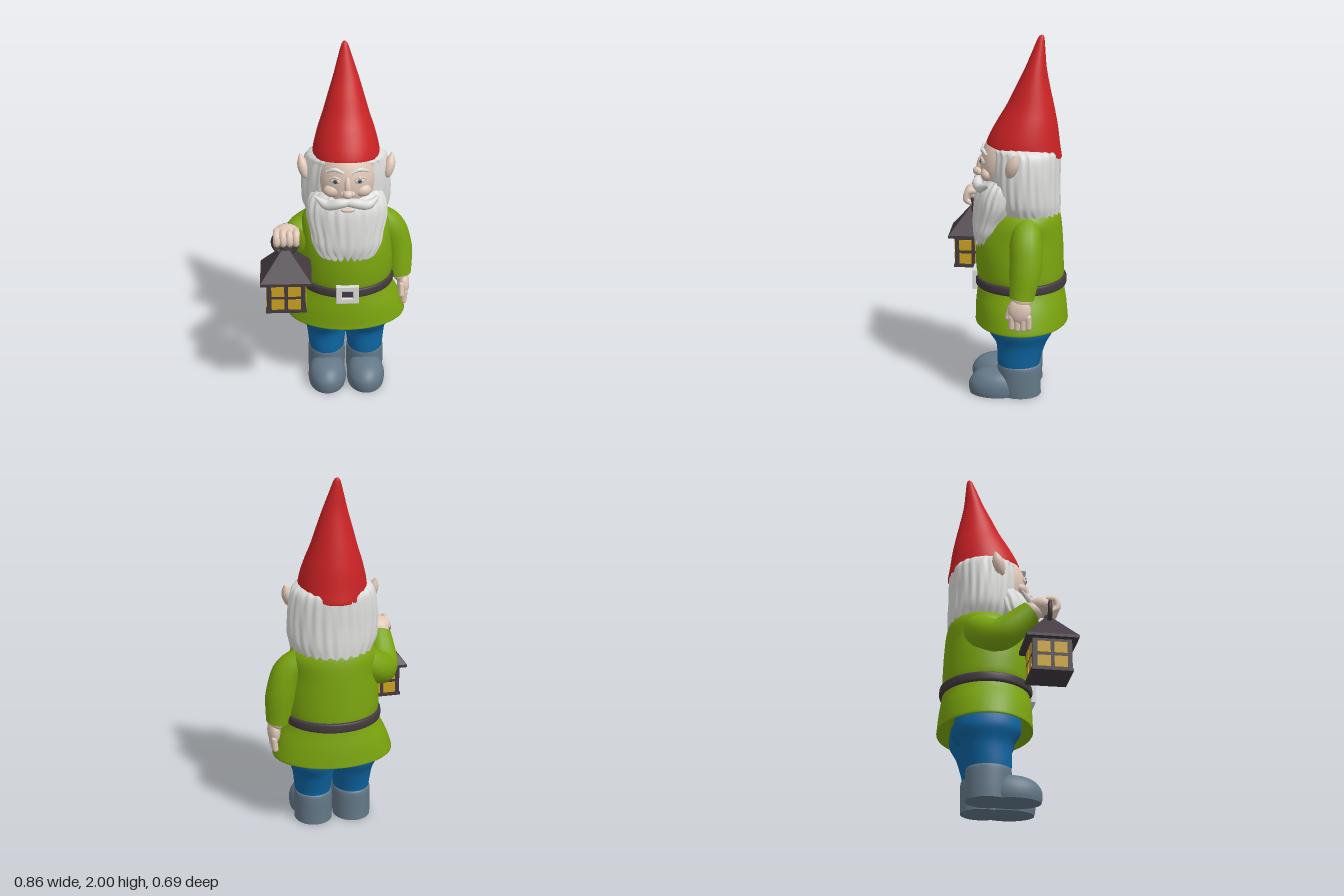
import * as THREE from 'three';

const mat = (name, color, side = THREE.FrontSide) => {
  const m = new THREE.MeshStandardMaterial({ color, side });
  m.name = name;
  return m;
};
const CX = 0.05; // the figure's own centre line, offset by the lantern

export function createModel() {
  const red = mat('hat red', 0xcc2224), green = mat('tunic green', 0x7aa40e, THREE.DoubleSide);
  const blue = mat('trouser blue', 0x0d66a4), slate = mat('boot slate', 0x647888);
  const dark = mat('iron dark', 0x433a40), yellow = mat('window yellow', 0xcaa11f);
  const skin = mat('skin', 0xe0c8b8), white = mat('hair white', 0xdcdcda), iris = mat('iris grey', 0x7d8c9a);
  const root = new THREE.Group();

  const add = (name, geo, material, pos = [0, 0, 0], rot = [0, 0, 0]) => {
    const m = new THREE.Mesh(geo, material);
    m.name = name;
    m.position.set(...pos);
    m.rotation.set(...rot);
    root.add(m);
    return m;
  };
  const blob = (name, material, pos, r, rot) =>
    add(name, new THREE.SphereGeometry(1, 24, 16).scale(...r), material, pos, rot);

  // Tunic with flared hem, turned under at the bottom
  add('tunic', loft([
    [0.47, CX, -0.085, 0.24, 0.19], [0.425, CX, -0.085, 0.31, 0.235], [0.412, CX, -0.085, 0.338, 0.258],
    [0.44, CX, -0.085, 0.336, 0.258], [0.52, CX, -0.082, 0.308, 0.253], [0.6, CX, -0.08, 0.268, 0.242],
    [0.645, CX, -0.08, 0.256, 0.238], [0.7, CX, -0.076, 0.264, 0.243], [0.8, CX, -0.072, 0.262, 0.244],
    [0.9, CX, -0.075, 0.252, 0.236], [1.0, CX, -0.1, 0.245, 0.2], [1.06, CX, -0.11, 0.2, 0.165],
    [1.1, CX, -0.11, 0.12, 0.11]]), green);

  // Belt and buckle
  add('belt', loft([[0.617, CX, -0.08, 0.25, 0.236], [0.622, CX, -0.08, 0.27, 0.252],
    [0.645, CX, -0.08, 0.274, 0.255], [0.668, CX, -0.08, 0.27, 0.252], [0.673, CX, -0.08, 0.25, 0.236]]), dark);
  const frame = rect(0.12, 0.1);
  frame.holes.push(rect(0.07, 0.052));
  add('buckle', new THREE.ExtrudeGeometry(frame, {
    depth: 0.02, bevelEnabled: true, bevelSize: 0.004, bevelThickness: 0.004, bevelSegments: 2,
  }), white, [CX, 0.645, 0.164]);

  // Trousers and boots
  blob('trouserSeat', blue, [CX, 0.42, -0.085], [0.255, 0.1, 0.185]);
  for (const s of [-1, 1]) {
    const x = CX + s * 0.112;
    add('trouserLeg', loft([[0.15, x, -0.075, 0.098, 0.115], [0.2, x, -0.075, 0.104, 0.12],
      [0.3, x, -0.087, 0.117, 0.138], [0.38, x + s * 0.012, -0.085, 0.133, 0.178],
      [0.46, x + s * 0.012, -0.085, 0.13, 0.175]]), blue);
    add('bootShaft', loft([[0, x, -0.082, 0.106, 0.118], [0.06, x, -0.08, 0.108, 0.119],
      [0.16, x, -0.078, 0.107, 0.122], [0.18, x, -0.076, 0.1, 0.115]]), slate);
    add('bootToe', loft([[0, x, 0.05, 0.104, 0.15], [0.03, x, 0.05, 0.109, 0.156], [0.07, x, 0.05, 0.106, 0.152],
      [0.11, x, 0.045, 0.088, 0.127], [0.135, x, 0.035, 0.055, 0.09], [0.146, x, 0.03, 0.012, 0.02]]), slate);
  }

  // Hair mantle and beard, rippled into strands
  const strands = (n, amp, jag, low) => (p, a, cx, cz) => {
    const k = 1 + amp * Math.sin(n * a + 5 * p.y) + amp * 0.7 * Math.sin((n + 8) * a - 9 * p.y + 1);
    p.x = cx + (p.x - cx) * k;
    p.z = cz + (p.z - cz) * k;
    p.y += jag * Math.sin(n * a) * Math.max(0, 1 - (p.y - low) / 0.12);
  };
  add('hair', loft([[1.035, CX, -0.115, 0.21, 0.178], [1.1, CX, -0.105, 0.24, 0.19], [1.2, CX, -0.1, 0.248, 0.193],
    [1.3, CX, -0.1, 0.242, 0.193], [1.37, CX, -0.1, 0.226, 0.188], [1.4, CX, -0.085, 0.2, 0.175],
    [1.425, CX, -0.08, 0.14, 0.13]], 120, strands(23, 0.014, 0.012, 1.035)), white);
  add('beard', loft([[0.855, CX, 0.135, 0.08, 0.03], [0.875, CX, 0.125, 0.145, 0.05], [0.93, CX, 0.105, 0.185, 0.08],
    [1.0, CX, 0.08, 0.198, 0.105], [1.08, CX, 0.045, 0.218, 0.135], [1.14, CX, 0.03, 0.218, 0.14],
    [1.19, CX, 0.01, 0.205, 0.138], [1.225, CX, 0, 0.175, 0.115]], 120, strands(19, 0.018, 0.016, 0.855)), white);

  // Face
  blob('face', skin, [CX, 1.29, 0], [0.162, 0.2, 0.145]);
  blob('noseBridge', skin, [CX, 1.3, 0.143], [0.018, 0.05, 0.02], [-0.25, 0, 0]);
  blob('noseTip', skin, [CX, 1.255, 0.158], [0.028, 0.025, 0.028]);
  blob('lowerLip', skin, [CX, 1.165, 0.168], [0.04, 0.012, 0.012]);
  for (const s of [-1, 1]) {
    const x = (d) => CX + s * d;
    blob('nostril', skin, [x(0.024), 1.25, 0.146], [0.016, 0.016, 0.018]);
    blob('cheek', skin, [x(0.08), 1.255, 0.1], [0.05, 0.038, 0.038]);
    blob('eye', white, [x(0.066), 1.322, 0.126], [0.031, 0.018, 0.013], [0, s * 0.3, 0]);
    blob('iris', iris, [x(0.066), 1.322, 0.136], [0.014, 0.014, 0.005], [0, s * 0.3, 0]);
    blob('pupil', dark, [x(0.066), 1.322, 0.14], [0.008, 0.008, 0.003], [0, s * 0.3, 0]);
    add('eyelid', limb([[x(0.034), 1.328, 0.136], [x(0.066), 1.344, 0.135], [x(0.1), 1.328, 0.116]],
      [0.004, 0.007, 0.004]), skin);
    add('eyebrow', limb([[x(0.02), 1.368, 0.135], [x(0.065), 1.386, 0.127], [x(0.115), 1.365, 0.1]],
      [0.006, 0.012, 0.005]), white);
    add('moustache', limb([[x(-0.01), 1.205, 0.15], [x(0.05), 1.2, 0.158], [x(0.11), 1.182, 0.135],
      [x(0.175), 1.212, 0.09]], [0.022, 0.029, 0.026, 0.006]), white);
    // Pointed ear
    const ear = new THREE.SphereGeometry(1, 24, 16), p = ear.attributes.position;
    for (let i = 0; i < p.count; i++) {
      const k = 1 - 0.6 * Math.max(0, p.getY(i)) ** 2;
      p.setXYZ(i, p.getX(i) * k, p.getY(i), p.getZ(i) * k);
    }
    ear.scale(0.03, 0.072, 0.034).computeVertexNormals();
    add('ear', ear, skin, [x(0.238), 1.335, -0.045], [-0.32, 0, -s * 0.22]);
  }

  // Pointed hat, its brim tilted down at the back
  add('hat', loft([[1.41, CX, -0.095, 0.165, 0.18, 0.19], [1.378, CX, -0.095, 0.186, 0.205, 0.19],
    [1.44, CX, -0.1, 0.18, 0.19, 0.15], [1.53, CX, -0.115, 0.157, 0.162, 0.1], [1.62, CX, -0.13, 0.127, 0.128, 0.06],
    [1.72, CX, -0.142, 0.098, 0.093, 0.03], [1.82, CX, -0.156, 0.068, 0.059, 0], [1.91, 0.047, -0.171, 0.041, 0.036, 0],
    [1.98, 0.045, -0.183, 0.019, 0.018, 0], [1.999, 0.045, -0.187, 0.006, 0.006, 0]], 64), red);

  // Lowered left arm and hand
  add('leftSleeve', limb([[0.2, 1.0, -0.12], [0.295, 0.93, -0.12], [0.342, 0.8, -0.12], [0.362, 0.625, -0.1]],
    [0.07, 0.088, 0.086, 0.066]), green);
  blob('leftWrist', skin, [0.368, 0.625, -0.1], [0.046, 0.05, 0.056]);
  blob('leftPalm', skin, [0.383, 0.565, -0.09], [0.036, 0.075, 0.062]);
  for (let i = 0; i < 4; i++)
    add('leftFinger', new THREE.CapsuleGeometry(0.017, 0.06, 6, 12), skin,
      [0.388, 0.5 - 0.006 * (i === 1 || i === 2), -0.138 + i * 0.03], [0, 0, -0.1]);
  add('leftThumb', new THREE.CapsuleGeometry(0.016, 0.06, 6, 12), skin, [0.37, 0.55, -0.034], [-0.25, 0, 0]);

  // Raised right arm and fist
  add('rightSleeve', limb([[-0.06, 1.0, -0.14], [-0.18, 0.91, -0.13], [-0.25, 0.875, -0.04], [-0.28, 1.0, 0.12]],
    [0.08, 0.094, 0.086, 0.066]), green);
  blob('rightWrist', skin, [-0.281, 1.005, 0.125], [0.06, 0.05, 0.06]);
  blob('rightFist', skin, [-0.283, 1.035, 0.18], [0.074, 0.052, 0.075]);
  for (let i = 0; i < 4; i++) {
    const x = -0.336 + i * 0.035;
    add('rightFinger', limb([[x, 1.062, 0.19], [x, 1.058, 0.238], [x, 1.015, 0.252], [x, 0.985, 0.215]],
      [0.018, 0.02, 0.019, 0.012]), skin);
  }

  // Lantern
  const L = [-0.29, 0, 0.21], at = (y) => [L[0], y, L[2]];
  add('lanternBody', new THREE.BoxGeometry(0.212, 0.18, 0.212), dark, at(0.712));
  add('lanternFoot', new THREE.BoxGeometry(0.222, 0.015, 0.222), dark, at(0.6275));
  add('lanternEave', new THREE.BoxGeometry(0.28, 0.016, 0.28), dark, at(0.808));
  const roof = new THREE.CylinderGeometry(0.03, 0.196, 0.145, 4).rotateY(Math.PI / 4).toNonIndexed();
  roof.computeVertexNormals();
  add('lanternRoof', roof, dark, at(0.888));
  add('lanternCap', new THREE.CylinderGeometry(0.02, 0.026, 0.03, 16), dark, at(0.965));
  add('lanternRing', new THREE.TorusGeometry(0.066, 0.013, 12, 36), dark, at(1.0));
  for (let f = 0; f < 4; f++)
    for (const u of [-1, 1])
      for (const v of [-1, 1]) {
        const a = f * Math.PI / 2, d = 0.107;
        add('lanternPane', new THREE.BoxGeometry(0.07, 0.062, 0.006), yellow,
          [L[0] + Math.sin(a) * d + Math.cos(a) * u * 0.045, 0.712 + v * 0.04,
            L[2] + Math.cos(a) * d - Math.sin(a) * u * 0.045], [0, a, 0]);
      }
  return root;
}

// Centred rectangle outline
function rect(w, h) {
  const pts = [[-1, -1], [1, -1], [1, 1], [-1, 1]].map(([x, y]) => new THREE.Vector2(x * w / 2, y * h / 2));
  return new THREE.Shape(pts);
}

// Smooth skin over elliptical sections [y, cx, cz, rx, rz, tilt], with flat end caps
function loft(sections, seg = 48, deform = null, steps = 6) {
  const n = sections.length, rows = (n - 1) * steps + 1, pos = [], idx = [], p = new THREE.Vector3();
  const section = (j) => {
    const i = Math.min(Math.floor(j / steps), n - 2), t = j / steps - i;
    const [a, b, c, d] = [i - 1, i, i + 1, i + 2].map((k) => sections[Math.min(Math.max(k, 0), n - 1)]);
    return b.map((v, k) => v + 0.5 * t * (c[k] - a[k] + t * (2 * a[k] - 5 * v + 4 * c[k] - d[k]
      + t * (3 * (v - c[k]) + d[k] - a[k]))));
  };
  const ring = (j) => {
    const [y, cx, cz, rx, rz, tilt = 0] = section(j);
    for (let i = 0; i < seg; i++) {
      const a = i / seg * Math.PI * 2;
      p.set(cx + rx * Math.cos(a), y + tilt * rz * Math.sin(a), cz + rz * Math.sin(a));
      if (deform) deform(p, a, cx, cz);
      pos.push(p.x, p.y, p.z);
    }
    return [cx, y, cz];
  };
  for (let j = 0; j < rows; j++) ring(j);
  for (let j = 0; j < rows - 1; j++)
    for (let i = 0; i < seg; i++) {
      const a = j * seg + i, b = j * seg + (i + 1) % seg;
      idx.push(a, a + seg, b, b, a + seg, b + seg);
    }
  for (const j of [0, rows - 1]) {
    const start = pos.length / 3;
    pos.push(...ring(j));
    for (let i = 0; i < seg; i++) {
      const a = start + i, b = start + (i + 1) % seg;
      idx.push(start + seg, ...(j ? [b, a] : [a, b]));
    }
  }
  const g = new THREE.BufferGeometry();
  g.setAttribute('position', new THREE.Float32BufferAttribute(pos, 3));
  g.setIndex(idx);
  g.computeVertexNormals();
  return g;
}

// Tube along a curve with a varying radius
function limb(points, radii) {
  const curve = new THREE.CatmullRomCurve3(points.map((q) => new THREE.Vector3(...q)));
  const N = 24, R = 16, g = new THREE.TubeGeometry(curve, N, 1, R), p = g.attributes.position;
  const v = new THREE.Vector3();
  for (let i = 0; i < p.count; i++) {
    const u = Math.floor(i / (R + 1)) / N, c = curve.getPointAt(u), f = u * (radii.length - 1);
    const k = Math.min(Math.floor(f), radii.length - 2);
    v.fromBufferAttribute(p, i).sub(c).multiplyScalar(THREE.MathUtils.lerp(radii[k], radii[k + 1], f - k)).add(c);
    p.setXYZ(i, v.x, v.y, v.z);
  }
  return g;
}
